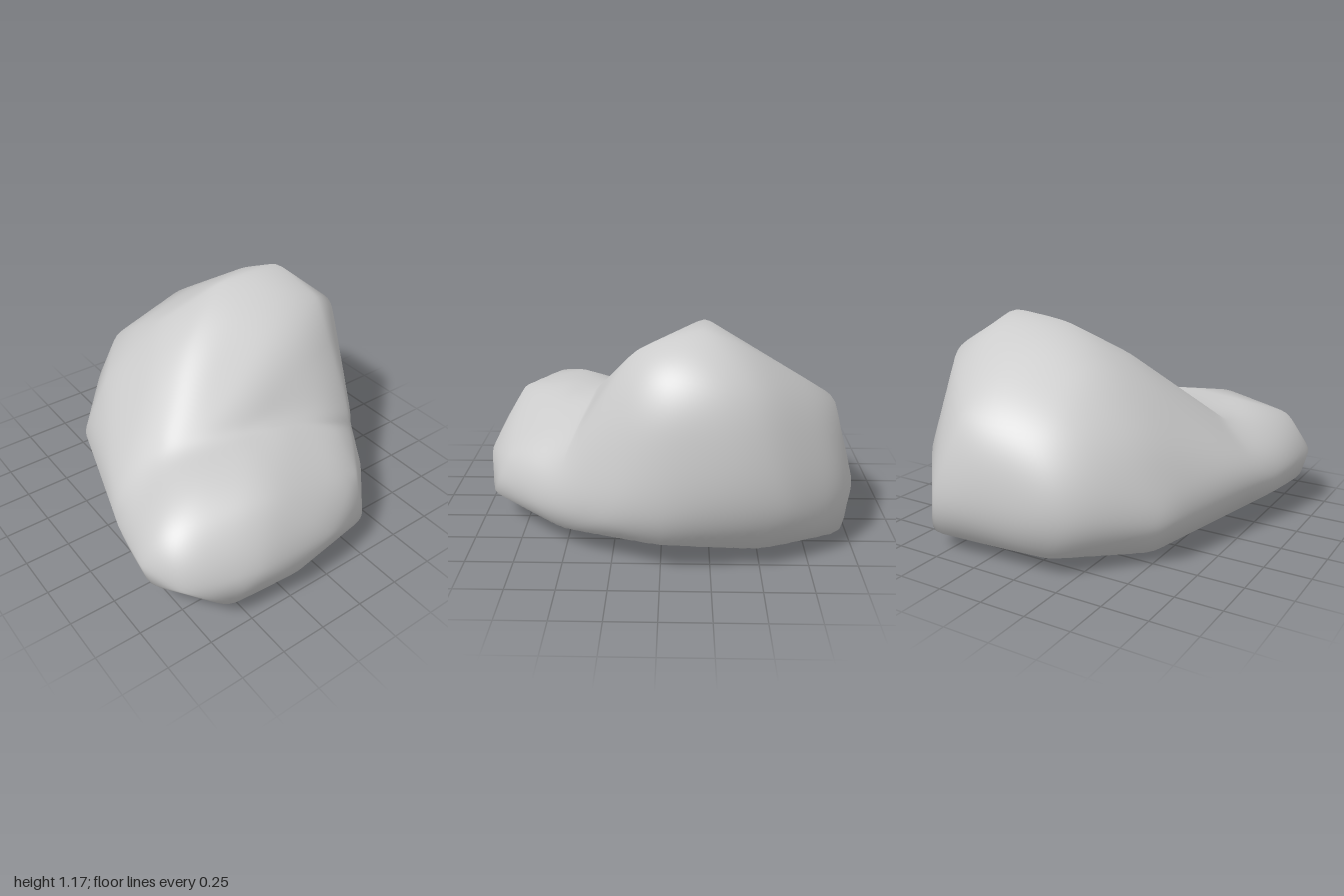
import * as THREE from 'three';
import { mergeVertices } from 'three/addons/utils/BufferGeometryUtils.js';
import { ConvexGeometry } from 'three/addons/geometries/ConvexGeometry.js';

// Guide corners (x, y, z) of the tall lobe
const tallLobe = [
  // crown and shoulders
  [-0.19, 1.18, -0.57], [-0.22, 1.145, -0.19], [-0.42, 1.08, -0.52], [0.12, 1.09, -0.6], [0.19, 0.98, -0.6],
  [-0.4, 0.97, -0.82], [0.02, 0.95, -0.83], [-0.9, 0.77, -0.35], [-0.35, 0.96, 0.1], [-0.05, 0.97, 0.1],
  [-0.15, 0.82, 0.3], [-0.85, 0.64, 0.15], [-0.5, 0.6, 0.42], [-0.1, 0.63, 0.44], [0.3, 0.56, 0.54],
  [0.37, 0.6, 0.35], [0.41, 0.61, 0.15],
  // waist
  [-1, 0.35, -0.49], [-0.59, 0.42, -0.88], [-0.28, 0.5, -0.91], [0, 0.36, -0.915], [0.28, 0.3, -0.82],
  [0.5, 0.5, -0.57], [0.44, 0.6, -0.35],
  [-0.91, 0.35, 0.26], [-0.54, 0.25, 0.58], [0, 0.28, 0.74], [0.28, 0.3, 0.84],
  // foot
  [-0.94, 0.09, -0.58], [-0.6, 0, 0], [-0.65, 0.03, -0.45], [-0.92, 0.11, 0.15], [-0.5, 0.06, 0.5],
  [0.2, 0.1, 0.7], [0.2, 0.045, 0.5], [-0.5, 0.11, -0.8], [0, 0.17, -0.87], [0.4, 0.035, 0.25],
  [0.3, 0.06, -0.4], [0.52, 0.13, -0.63],
];

// Guide corners of the low lobe on the left
const lowLobe = [
  // back of the lobe
  [0.5, 0.66, 0.2], [0.5, 0.64, -0.08], [0.5, 0.635, 0.5], [0.84, 0.59, 0.32], [0.82, 0.42, -0.33],
  [0.58, 0.53, -0.38], [0.51, 0.46, -0.57], [0.68, 0.55, 0.76], [0.3, 0.56, 0.55], [0.25, 0.55, 0.2],
  // waist
  [0.65, 0.35, 0.92], [0.88, 0.3, 0.83], [1, 0.32, 0.46], [1, 0.3, 0], [0.93, 0.17, -0.31], [0.66, 0.25, -0.55],
  [0.28, 0.3, 0.84], [0, 0.28, 0.74], [0.28, 0.3, -0.8],
  // foot
  [0, 0.06, 0.4], [0, 0.08, -0.4], [0.4, 0.035, 0.3], [0.2, 0.045, 0.5], [0.2, 0.1, 0.7], [0.4, 0.17, 0.83],
  [0.65, 0.17, 0.87], [0.8, 0.06, 0.55], [0.95, 0.11, 0.6], [0.92, 0.06, 0.25], [1, 0.15, 0.2],
  [0.52, 0.13, -0.63], [0.3, 0.06, -0.4],
];

const core = new THREE.Vector3(0.2, 0.33, 0.1);

// Bounding planes of the convex hull around the guide corners
function hullPlanes(corners) {
  const p = new ConvexGeometry(corners.map((c) => new THREE.Vector3(...c))).attributes.position;
  const planes = [];
  for (let i = 0; i < p.count; i += 3) {
    const [a, b, c] = [0, 1, 2].map((k) => new THREE.Vector3().fromBufferAttribute(p, i + k));
    planes.push(new THREE.Plane().setFromCoplanarPoints(a, b, c));
  }
  return planes;
}

// Distance from the core to the hull in one direction
function reach(planes, dir) {
  let r = Infinity;
  for (const pl of planes) {
    const slope = pl.normal.dot(dir);
    if (slope > 1e-6) r = Math.min(r, -pl.distanceToPoint(core) / slope);
  }
  return r;
}

// Average an attribute over neighbouring vertices for a weathered look
function soften(attribute, index, passes) {
  const v = new THREE.Vector3();
  for (let pass = 0; pass < passes; pass++) {
    const sum = Array.from({ length: attribute.count }, () => new THREE.Vector3());
    const weight = new Float32Array(attribute.count);
    for (let i = 0; i < index.length; i += 3) {
      const tri = [index[i], index[i + 1], index[i + 2]];
      for (const a of tri) {
        for (const b of tri) sum[a].add(v.fromBufferAttribute(attribute, b));
        weight[a] += 3;
      }
    }
    sum.forEach((s, i) => attribute.setXYZ(i, s.x / weight[i], s.y / weight[i], s.z / weight[i]));
  }
}

export function createModel() {
  const lobes = [tallLobe, lowLobe].map(hullPlanes);

  // Sphere pushed out to the joined surface of both lobes
  const ball = new THREE.IcosahedronGeometry(1, 36);
  ball.deleteAttribute('uv');
  ball.deleteAttribute('normal');
  const geometry = mergeVertices(ball, 1e-4);
  const p = geometry.attributes.position;
  const dir = new THREE.Vector3();
  for (let i = 0; i < p.count; i++) {
    dir.fromBufferAttribute(p, i).normalize();
    const r = Math.max(...lobes.map((planes) => reach(planes, dir)));
    dir.multiplyScalar(r).add(core);
    p.setXYZ(i, dir.x, dir.y, dir.z);
  }
  soften(p, geometry.index.array, 1);
  geometry.computeVertexNormals();
  soften(geometry.attributes.normal, geometry.index.array, 40);
  geometry.normalizeNormals();

  const boulder = new THREE.Mesh(geometry, new THREE.MeshStandardMaterial({ color: 0xcccccc }));
  boulder.name = 'boulder';
  const group = new THREE.Group();
  group.name = 'rock';
  group.add(boulder);
  return group;
}
